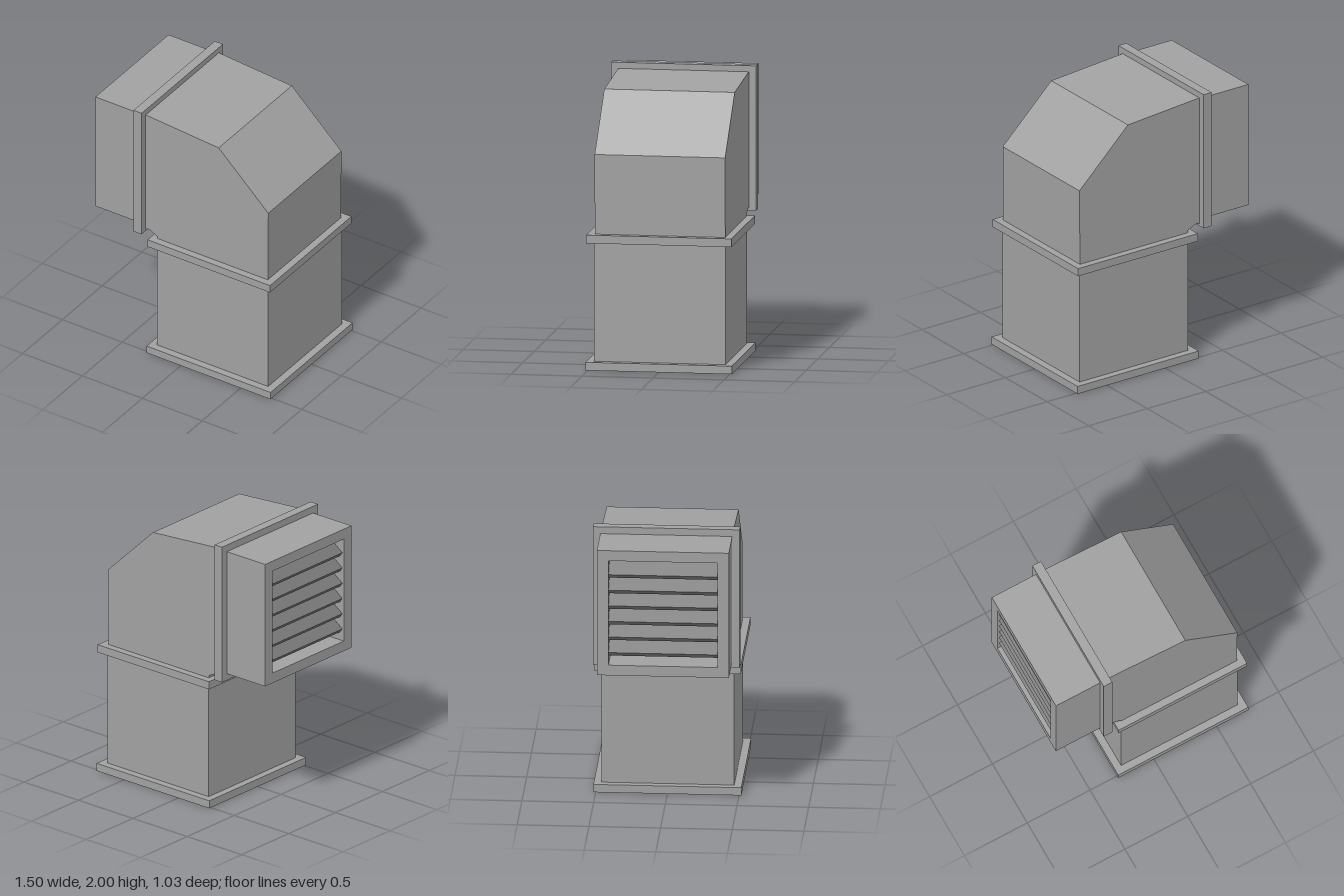
import * as THREE from 'three';

const material = new THREE.MeshStandardMaterial({ color: 0xa1a1a1, flatShading: true });
const slatMaterial = new THREE.MeshStandardMaterial({ color: 0x777777, flatShading: true });

// Box given by its x and y extents and half depth in z
function slab(name, x0, x1, y0, y1, halfZ) {
  const mesh = new THREE.Mesh(new THREE.BoxGeometry(x1 - x0, y1 - y0, halfZ * 2), material);
  mesh.position.set((x0 + x1) / 2, (y0 + y1) / 2, 0);
  mesh.name = name;
  return mesh;
}

function polygon(points, Type = THREE.Shape) {
  return new Type(points.map(([x, y]) => new THREE.Vector2(x, y)));
}

const rectangle = (w, y0, y1) => [[-w, y0], [w, y0], [w, y1], [-w, y1]];

export function createModel() {
  const group = new THREE.Group();
  group.name = 'ventElbow';

  // Upright duct with its two collars, and the collar of the outlet
  group.add(
    slab('baseFlange', -0.285, 0.75, 0, 0.057, 0.516),
    slab('verticalDuct', -0.233, 0.695, 0.057, 0.895, 0.463),
    slab('middleFlange', -0.28, 0.743, 0.895, 0.953, 0.512),
    slab('outletFlange', -0.398, -0.33, 0.98, 2, 0.512)
  );

  // Elbow: chamfered side profile extruded across the width
  const profile = polygon([
    [-0.233, 0.953], [0.69, 0.953], [0.694, 1.515], [0.28, 1.91],
    [-0.33, 1.957], [-0.33, 0.998], [-0.3, 1.003], [-0.233, 0.97]
  ]);
  const elbowGeometry = new THREE.ExtrudeGeometry(profile, { depth: 0.92, bevelEnabled: false });
  elbowGeometry.translate(0, 0, -0.46);
  const elbow = new THREE.Mesh(elbowGeometry, material);
  elbow.name = 'elbow';
  group.add(elbow);

  // Outlet: hollow square sleeve running along x
  const sleeve = polygon(rectangle(0.46, 1.03, 1.95));
  sleeve.holes.push(polygon(rectangle(0.38, 1.105, 1.875), THREE.Path));
  const sleeveGeometry = new THREE.ExtrudeGeometry(sleeve, { depth: 0.352, bevelEnabled: false });
  sleeveGeometry.rotateY(Math.PI / 2);
  const outlet = new THREE.Mesh(sleeveGeometry, material);
  outlet.position.x = -0.75;
  outlet.name = 'outletSleeve';
  group.add(outlet);

  // Darker louvre slats sloping down towards the opening
  const louvres = new THREE.Group();
  louvres.name = 'louvres';
  const slatGeometry = new THREE.BoxGeometry(0.16, 0.035, 0.76);
  for (let i = 0; i < 6; i++) {
    const slat = new THREE.Mesh(slatGeometry, slatMaterial);
    slat.position.set(-0.66, 1.225 + i * 0.115, 0);
    slat.rotation.z = 0.62;
    slat.name = 'slat';
    louvres.add(slat);
  }
  group.add(louvres);

  return group;
}
